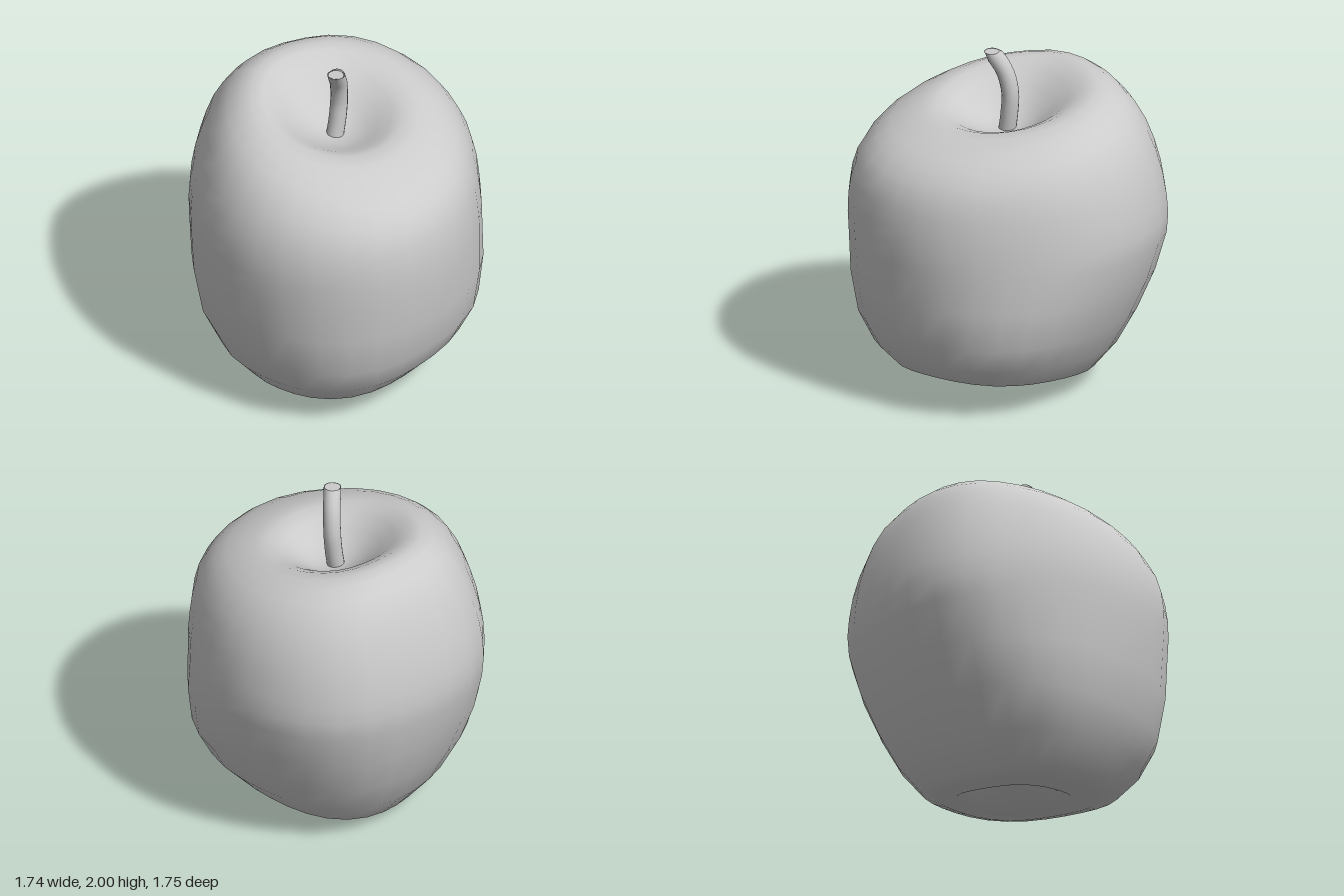
import * as THREE from 'three';
import { mergeVertices } from 'three/addons/utils/BufferGeometryUtils.js';

const material = new THREE.MeshStandardMaterial({ color: 0xcccccc, side: THREE.DoubleSide });

// Tilted, slightly off-centre rings from the bottom hollow to the stem hollow:
// [radius, centre x, centre z, height, tilt along x, tilt along z]
const rings = [
  [0, 0, 0.03, 0.25, 0, 0],
  [0.09, 0, 0.03, 0.23, 0.005, 0.01],
  [0.19, 0, 0.04, 0.15, 0.015, 0.03],
  [0.32, -0.01, 0.05, 0.073, 0.035, 0.058],
  [0.53, -0.025, 0.085, 0.12, 0.045, 0.07],
  [0.75, -0.03, 0.055, 0.46, 0.03, 0.015],
  [0.862, 0.003, 0.002, 0.94, 0, 0],
  [0.864, 0, 0, 1.17, -0.01, -0.01],
  [0.815, 0, 0.01, 1.4, 0.01, -0.035],
  [0.71, 0, 0.01, 1.59, 0.02, -0.085],
  [0.565, 0, 0, 1.695, 0.02, -0.105],
  [0.41, 0, -0.02, 1.725, 0.01, -0.085],
  [0.25, 0, -0.01, 1.63, 0.01, -0.05],
  [0.12, 0, 0, 1.55, 0, -0.015],
  [0, 0, 0, 1.53, 0, 0],
];

// Uneven outline: bulges and dents as [direction in degrees, height, width in degrees]
const lumps = [[48, -0.015, 18], [116, 0.015, 18], [254, 0.035, 13], [296, -0.05, 18]];

// Outline offset relative to a circle; wider along one diagonal
function unevenness(degrees) {
  let sum = -0.045 * Math.sin(THREE.MathUtils.degToRad(2 * degrees));
  for (const [at, height, width] of lumps) {
    sum += height * Math.exp(-(((degrees - at) / width) ** 2));
  }
  return sum;
}

// Fruit skin: one smooth meridian curve per side, joined in a loop
function bodyGeometry(sides = 30, perRing = 2) {
  const steps = (rings.length - 1) * perRing;
  const positions = [];
  const index = [];
  for (let i = 0; i < sides; i++) {
    const a = (i / sides) * Math.PI * 2;
    const c = Math.cos(a);
    const s = Math.sin(a);
    const uneven = unevenness((i / sides) * 360);
    const squarish = 0.03 * (1 - Math.cos(4 * a));
    const meridian = new THREE.CatmullRomCurve3(rings.map(([radius, cx, cz, y, tx, tz]) => {
      // squarish near the base, lumpy from the middle up
      const upper = THREE.MathUtils.smoothstep(y, 0.3, 1.1);
      const r = radius * (1 + uneven * upper * Math.min(1, radius / 0.8) + squarish * (1 - upper));
      return new THREE.Vector3(cx + r * c, y + tx * c + tz * s, cz + r * s);
    }));
    for (let j = 0; j <= steps; j++) {
      const p = meridian.getPoint(j / steps);
      positions.push(p.x, Math.max(p.y, 0), p.z);
    }
    const here = i * (steps + 1);
    const next = ((i + 1) % sides) * (steps + 1);
    for (let j = 0; j < steps; j++) {
      if (j > 0) index.push(here + j, here + j + 1, next + j);
      if (j < steps - 1) index.push(next + j, here + j + 1, next + j + 1);
    }
  }
  const geometry = new THREE.BufferGeometry();
  geometry.setAttribute('position', new THREE.Float32BufferAttribute(positions, 3));
  geometry.setIndex(index);
  const merged = mergeVertices(geometry, 1e-4); // closes both poles
  merged.computeVertexNormals();
  return merged;
}

// Gently bent stalk, cut level at the top
function stemGeometry(radius) {
  const path = new THREE.CatmullRomCurve3([
    new THREE.Vector3(-0.015, 1.5, 0),
    new THREE.Vector3(0.008, 1.63, 0.003),
    new THREE.Vector3(0.017, 1.76, 0.007),
    new THREE.Vector3(-0.008, 1.89, 0.027),
    new THREE.Vector3(-0.07, 2, 0.065),
  ]);
  const segments = 14;
  const sides = 16;
  const tube = new THREE.TubeGeometry(path, segments, radius, sides);
  const p = tube.attributes.position;
  for (let i = 0; i < p.count; i++) {
    const atEnd = i >= segments * (sides + 1);
    p.setY(i, atEnd ? 2 : Math.min(p.getY(i), 2));
  }
  return tube;
}

export function createModel() {
  const group = new THREE.Group();
  group.name = 'apple';

  const body = new THREE.Mesh(bodyGeometry(), material);
  body.name = 'fruitBody';

  const stem = new THREE.Mesh(stemGeometry(0.05), material);
  stem.name = 'stem';

  // Cut end of the stalk
  const cap = new THREE.Mesh(new THREE.CircleGeometry(0.045, 16), material);
  cap.name = 'stemEnd';
  cap.rotation.x = -Math.PI / 2;
  cap.position.set(-0.07, 1.998, 0.065);

  group.add(body, stem, cap);
  return group;
}
